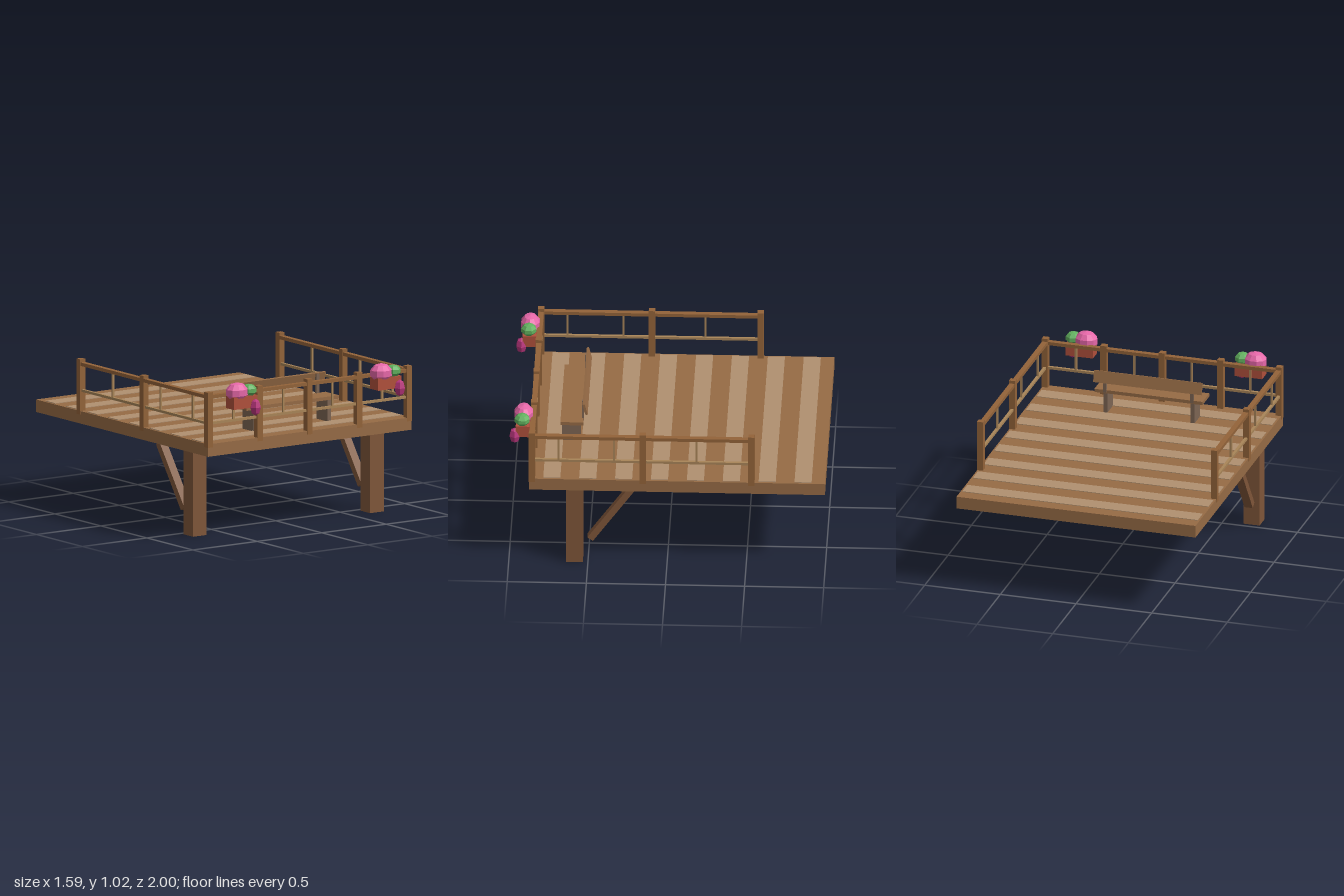
import * as THREE from 'three';

const mat = (color) => new THREE.MeshStandardMaterial({ color, flatShading: true, roughness: 0.9 });

export function createModel() {
  const model = new THREE.Group();
  const wood = mat(0x966b45), lightWood = mat(0xb09070), railWood = mat(0x936339);
  const postWood = mat(0x7f5639), slatWood = mat(0xa98558), legWood = mat(0x7d6553);
  const clay = mat(0xb0503c), pink = mat(0xe667a8), magenta = mat(0xb8357c), green = mat(0x62b15f);

  const group = (name) => {
    const g = new THREE.Group();
    g.name = name;
    model.add(g);
    return g;
  };
  const box = (parent, name, material, size, pos, rx = 0) => {
    const m = new THREE.Mesh(new THREE.BoxGeometry(...size), material);
    m.name = name;
    m.position.set(...pos);
    m.rotation.x = rx;
    parent.add(m);
    return m;
  };

  // Deck slab with raised light planks
  const deck = group('deck');
  box(deck, 'deckSlab', wood, [1.58, 0.08, 1.87], [0, 0.595, -0.065]);
  for (let i = 0; i < 8; i++) {
    box(deck, 'plank', lightWood, [1.555, 0.008, 0.108], [0, 0.635, -0.861 + i * 0.2268]);
  }

  // Support posts with diagonal braces
  const supports = group('supports');
  for (const s of [-1, 1]) {
    box(supports, 'supportPost', postWood, [0.106, 0.555, 0.106], [s * 0.687, 0.2775, 0.585]);
    box(supports, 'brace', postWood, [0.055, 0.466, 0.043], [s * 0.687, 0.345, 0.352], -0.617);
  }

  // Railings along the front and both sides
  const railing = group('railing');
  const frontZ = 0.852, sideX = 0.773, backZ = -0.535, midZ = 0.152;
  const railPost = (x, z) => box(railing, 'railPost', railWood, [0.04, 0.355, 0.04], [x, 0.79, z]);
  const baluster = (x, z) => box(railing, 'baluster', slatWood, [0.013, 0.165, 0.013], [x, 0.85, z]);

  for (const x of [-sideX, -0.386, 0, 0.386, sideX]) railPost(x, frontZ);
  for (const x of [-0.58, -0.193, 0.187, 0.572]) baluster(x, frontZ);
  box(railing, 'frontTopRail', railWood, [1.546, 0.022, 0.034], [0, 0.937, frontZ]);
  box(railing, 'frontMidRail', slatWood, [1.546, 0.016, 0.018], [0, 0.766, frontZ]);
  const length = frontZ - backZ, centre = (frontZ + backZ) / 2;
  for (const s of [-1, 1]) {
    const x = s * sideX;
    for (const z of [midZ, backZ]) railPost(x, z);
    for (const z of [0.685, 0.333, -0.187]) baluster(x, z);
    box(railing, 'sideTopRail', railWood, [0.034, 0.022, length], [x, 0.937, centre]);
    box(railing, 'sideMidRail', slatWood, [0.018, 0.016, length], [x, 0.766, centre]);
  }

  // Bench facing the front
  const bench = group('bench');
  box(bench, 'seat', wood, [0.715, 0.022, 0.145], [-0.002, 0.786, 0.616]);
  box(bench, 'backrest', wood, [0.715, 0.077, 0.014], [-0.002, 0.89, 0.532], 0.25);
  for (const s of [-1, 1]) {
    box(bench, 'benchLeg', legWood, [0.026, 0.14, 0.12], [s * 0.288, 0.705, 0.62]);
    box(bench, 'backSupport', legWood, [0.022, 0.14, 0.014], [s * 0.288, 0.85, 0.548]);
  }

  // Flower boxes hung outside the front railing
  const bloom = (parent, name, material, sides, rows, radii, pos) => {
    const m = new THREE.Mesh(new THREE.SphereGeometry(1, sides, rows), material);
    m.name = name;
    m.scale.set(...radii);
    m.position.set(...pos);
    parent.add(m);
  };
  for (const x of [-0.561, 0.558]) {
    const planter = group('flowerBox');
    planter.position.x = x;
    box(planter, 'planterBox', clay, [0.182, 0.077, 0.088], [0, 0.893, 0.916]);
    bloom(planter, 'pinkFlowers', pink, 10, 5, [0.077, 0.063, 0.064], [-0.035, 0.957, 0.913]);
    bloom(planter, 'leaves', green, 7, 5, [0.051, 0.04, 0.052], [0.053, 0.962, 0.92]);
    bloom(planter, 'hangingFlowers', magenta, 6, 4, [0.038, 0.054, 0.037], [0.071, 0.857, 0.966]);
  }

  return model;
}
